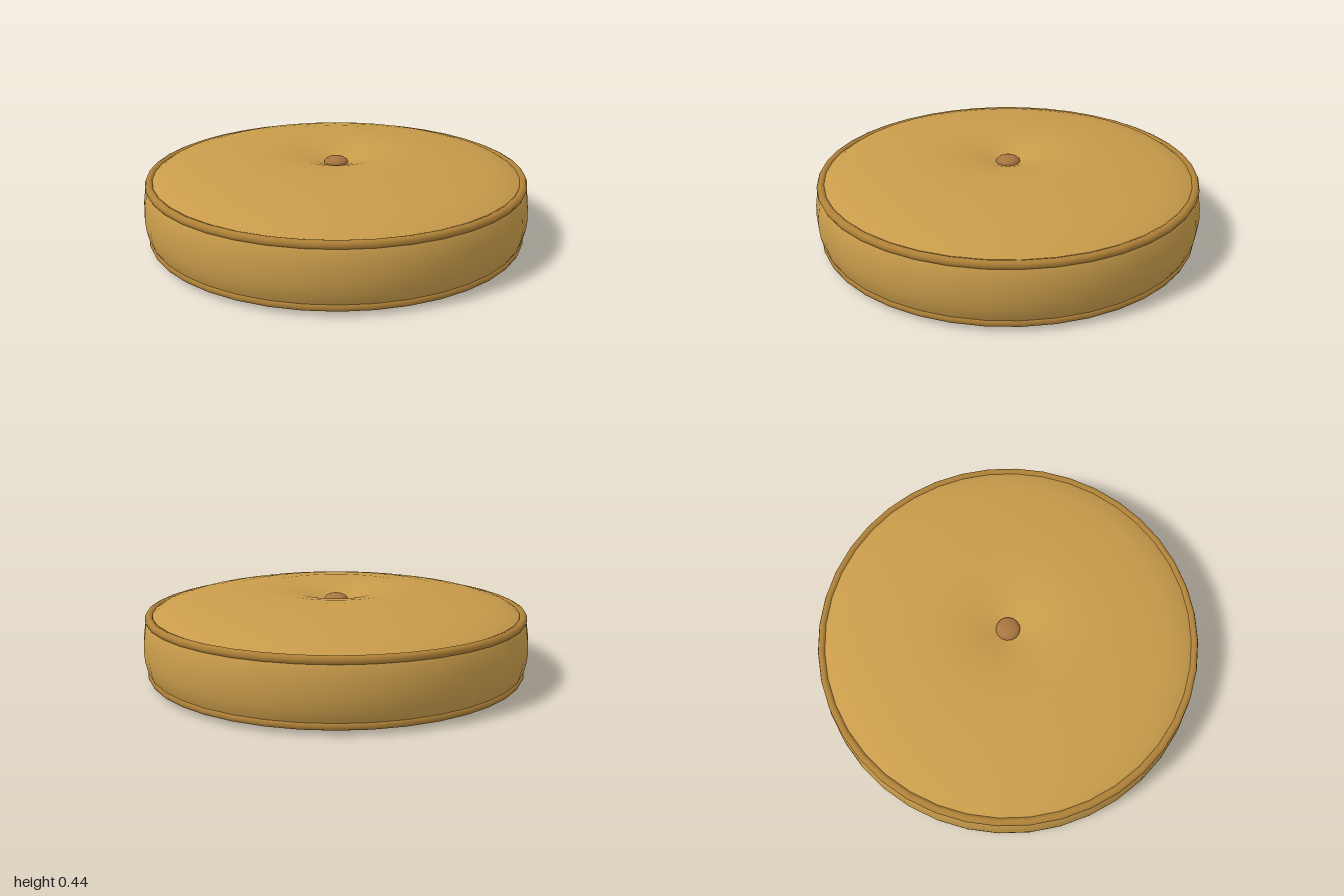
import * as THREE from 'three';

const SIDES = 40;

export function createModel() {
  const model = new THREE.Group();
  const cloth = new THREE.MeshStandardMaterial({ color: 0xc89b4a });
  const trim = new THREE.MeshStandardMaterial({ color: 0xb08238 });
  const wood = new THREE.MeshStandardMaterial({ color: 0xa87540 });

  const add = (name, geometry, material, y = 0) => {
    const mesh = new THREE.Mesh(geometry, material);
    mesh.name = name;
    mesh.position.y = y;
    model.add(mesh);
    return mesh;
  };
  // Profiles run from bottom to top as [radius, height]
  const lathe = (points) =>
    new THREE.LatheGeometry(points.map(([r, y]) => new THREE.Vector2(r, y)), SIDES);

  // Bulging side wall
  add('sideWall', lathe([
    [0.965, 0.03], [0.985, 0.07], [0.996, 0.12], [1, 0.17], [0.996, 0.23], [0.985, 0.295], [0.965, 0.325],
  ]), cloth);

  // Flat base with a shallow bevel
  add('base', lathe([[0, 0], [0.8, 0], [0.88, 0.003], [0.97, 0.028]]), cloth);

  // Domed top with a tufted dimple in the middle
  add('cushionTop', lathe([
    [0.965, 0.325], [0.91, 0.36], [0.82, 0.385], [0.72, 0.405], [0.58, 0.427], [0.41, 0.442],
    [0.3, 0.437], [0.2, 0.424], [0.12, 0.403], [0.06, 0.381], [0, 0.37],
  ]), cloth);

  // Piping around both seams
  for (const [name, y] of [['upperPiping', 0.325], ['lowerPiping', 0.04]]) {
    const ring = new THREE.TorusGeometry(0.964, 0.021, 8, SIDES).rotateX(Math.PI / 2);
    add(name, ring, trim, y);
  }

  // Flattened tuft button
  const button = add('button', new THREE.SphereGeometry(0.063, 16, 10), wood, 0.383);
  button.scale.y = 0.5;

  return model;
}
